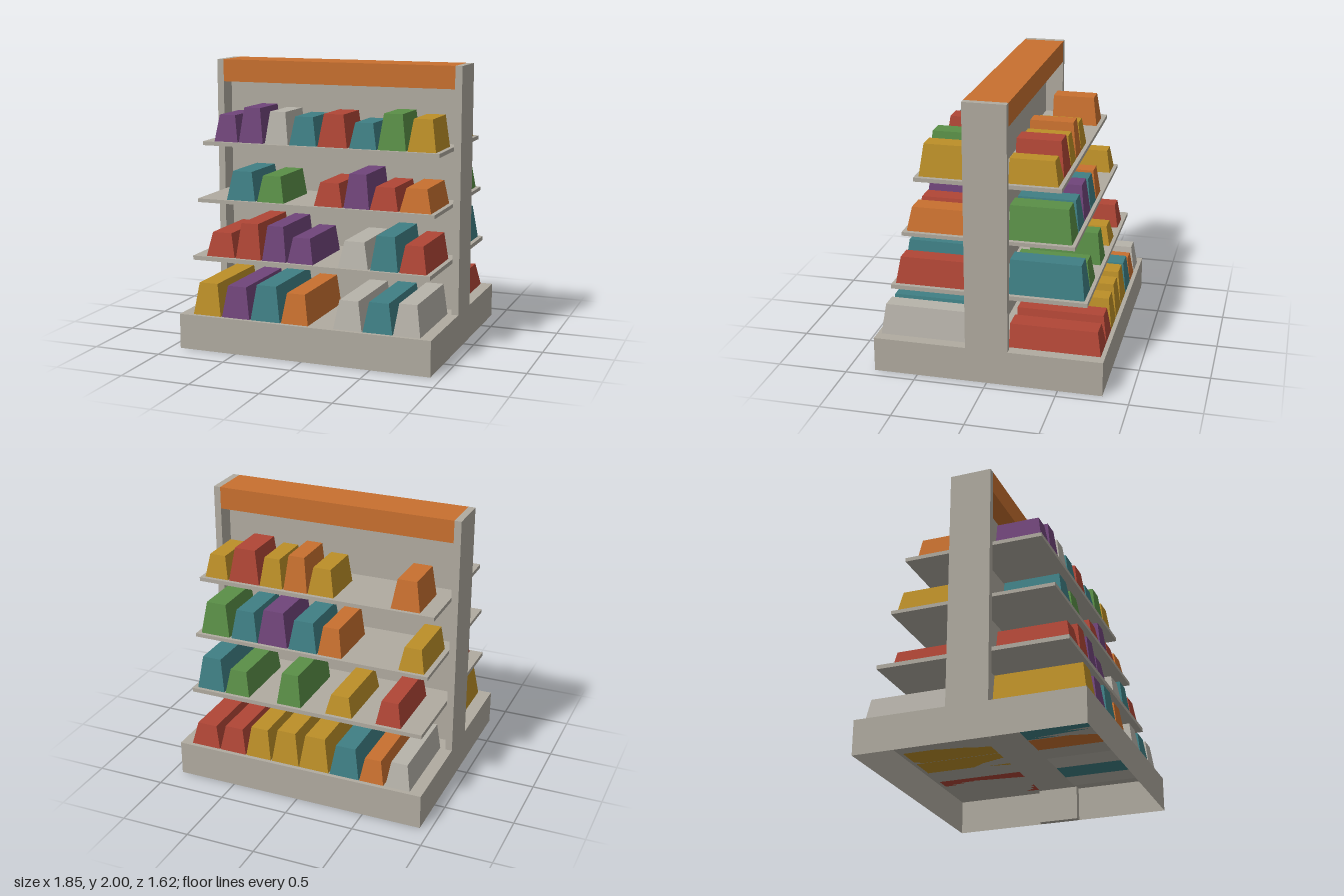
import * as THREE from 'three';

const mat = (name, color, side = THREE.FrontSide) => {
  const m = new THREE.MeshStandardMaterial({ color, side });
  m.name = name;
  return m;
};

export function createModel() {
  const root = new THREE.Group();
  root.name = 'storeShelf';

  const frameGrey = mat('frameGrey', 0xb0aba0, THREE.DoubleSide);
  const orange = mat('orange', 0xc8702f);
  const goods = {
    p: mat('purple', 0x70457a), t: mat('teal', 0x3f7f84), r: mat('red', 0xb04636),
    g: mat('green', 0x5a8f47), y: mat('yellow', 0xbc8f28), w: mat('lightGrey', 0xb7b3aa),
    o: orange,
  };

  const box = (name, material, w, y0, y1, d, x = 0) => {
    const mesh = new THREE.Mesh(new THREE.BoxGeometry(w, y1 - y0, d), material);
    mesh.name = name;
    mesh.position.set(x, (y0 + y1) / 2, 0);
    root.add(mesh);
    return mesh;
  };

  // Base: a shell that is open underneath (bottom face dropped)
  const base = box('base', frameGrey, 1.85, 0, 0.25, 1.62);
  const idx = Array.from(base.geometry.index.array);
  idx.splice(18, 6);
  base.geometry.clearGroups();
  base.geometry.setIndex(idx);

  // Uprights, back panel and header
  for (const s of [1, -1]) box(s > 0 ? 'leftUpright' : 'rightUpright', frameGrey, 0.05, 0, 2, 0.3, s * 0.9);
  box('backPanel', frameGrey, 1.75, 0.25, 1.84, 0.04);
  box('header', orange, 1.75, 1.84, 2, 0.3);

  // Shelves, shallower towards the top
  const shelves = [[0.62, 0.65, 0.686], [1.02, 1.046, 0.596], [1.415, 1.443, 0.503]];
  for (const [y0, y1, z] of shelves) box('shelf', frameGrey, 1.75, y0, y1, z * 2);

  // Product: a block narrowing upwards at the front and sides, upright at the back
  const product = (parent, key, x0, x1, y0, y1, zFront) => {
    const zBack = 0.14, w = x1 - x0, h = y1 - y0, d = zFront - zBack;
    const geo = new THREE.BoxGeometry(w, h, d);
    const pos = geo.attributes.position;
    for (let i = 0; i < pos.count; i++) {
      if (pos.getY(i) < 0) continue;
      pos.setX(i, pos.getX(i) * 0.66);
      if (pos.getZ(i) > 0) pos.setZ(i, pos.getZ(i) - 0.03);
    }
    geo.computeVertexNormals();
    const mesh = new THREE.Mesh(geo, goods[key]);
    mesh.name = 'product';
    mesh.position.set((x0 + x1) / 2, (y0 + y1) / 2, (zFront + zBack) / 2);
    parent.add(mesh);
  };

  // Rows from the bottom up: shelf top and product front
  const levels = [[0.25, 0.78], [0.65, 0.66], [1.046, 0.57], [1.443, 0.475]];

  // Each product: colour, x from, x to, top height
  const frontRows = [
    [['y', -0.83, -0.62, 0.477], ['p', -0.61, -0.40, 0.472], ['t', -0.39, -0.17, 0.498], ['o', -0.16, 0.04, 0.461],
      ['w', 0.225, 0.43, 0.45], ['t', 0.437, 0.648, 0.456], ['w', 0.653, 0.843, 0.466]],
    [['r', -0.78, -0.563, 0.82], ['r', -0.553, -0.362, 0.9], ['p', -0.352, -0.172, 0.895], ['p', -0.161, 0.029, 0.827],
      ['w', 0.214, 0.431, 0.832], ['t', 0.447, 0.643, 0.885], ['r', 0.653, 0.843, 0.837]],
    [['t', -0.659, -0.442, 1.25], ['g', -0.426, -0.225, 1.23], ['r', 0.003, 0.209, 1.208], ['p', 0.22, 0.405, 1.28],
      ['r', 0.41, 0.611, 1.203], ['o', 0.622, 0.843, 1.208]],
    [['p', -0.796, -0.616, 1.632], ['p', -0.606, -0.421, 1.69], ['w', -0.405, -0.23, 1.67], ['t', -0.22, -0.019, 1.643],
      ['r', -0.008, 0.209, 1.67], ['t', 0.225, 0.421, 1.62], ['g', 0.431, 0.632, 1.69], ['y', 0.643, 0.843, 1.664]],
  ];
  const backRows = [
    [['w', -0.834, -0.656, 0.435], ['o', -0.641, -0.463, 0.42], ['t', -0.458, -0.24, 0.47], ['y', -0.23, -0.007, 0.495],
      ['y', -0.002, 0.205, 0.49], ['y', 0.215, 0.408, 0.47], ['r', 0.413, 0.616, 0.433], ['r', 0.621, 0.843, 0.413]],
    [['r', -0.715, -0.532, 0.82], ['y', -0.354, -0.156, 0.79], ['g', 0.032, 0.215, 0.88], ['g', 0.433, 0.621, 0.83],
      ['t', 0.631, 0.843, 0.89]],
    [['y', -0.839, -0.656, 1.21], ['o', -0.24, -0.062, 1.25], ['t', -0.052, 0.161, 1.26], ['p', 0.171, 0.398, 1.295],
      ['t', 0.403, 0.606, 1.26], ['g', 0.621, 0.843, 1.28]],
    [['o', -0.765, -0.557, 1.65], ['y', -0.141, 0.052, 1.635], ['o', 0.057, 0.235, 1.692], ['y', 0.245, 0.418, 1.65],
      ['r', 0.423, 0.656, 1.685], ['y', 0.666, 0.843, 1.61]],
  ];

  const stock = (name, rows, side) => {
    const group = new THREE.Group();
    group.name = name;
    if (side < 0) group.rotation.y = Math.PI;
    rows.forEach((row, i) => {
      const [y0, zFront] = levels[i];
      for (const [key, a, b, top] of row) {
        product(group, key, side > 0 ? a : -b, side > 0 ? b : -a, y0, top, zFront);
      }
    });
    root.add(group);
  };
  stock('frontProducts', frontRows, 1);
  stock('backProducts', backRows, -1);

  return root;
}
